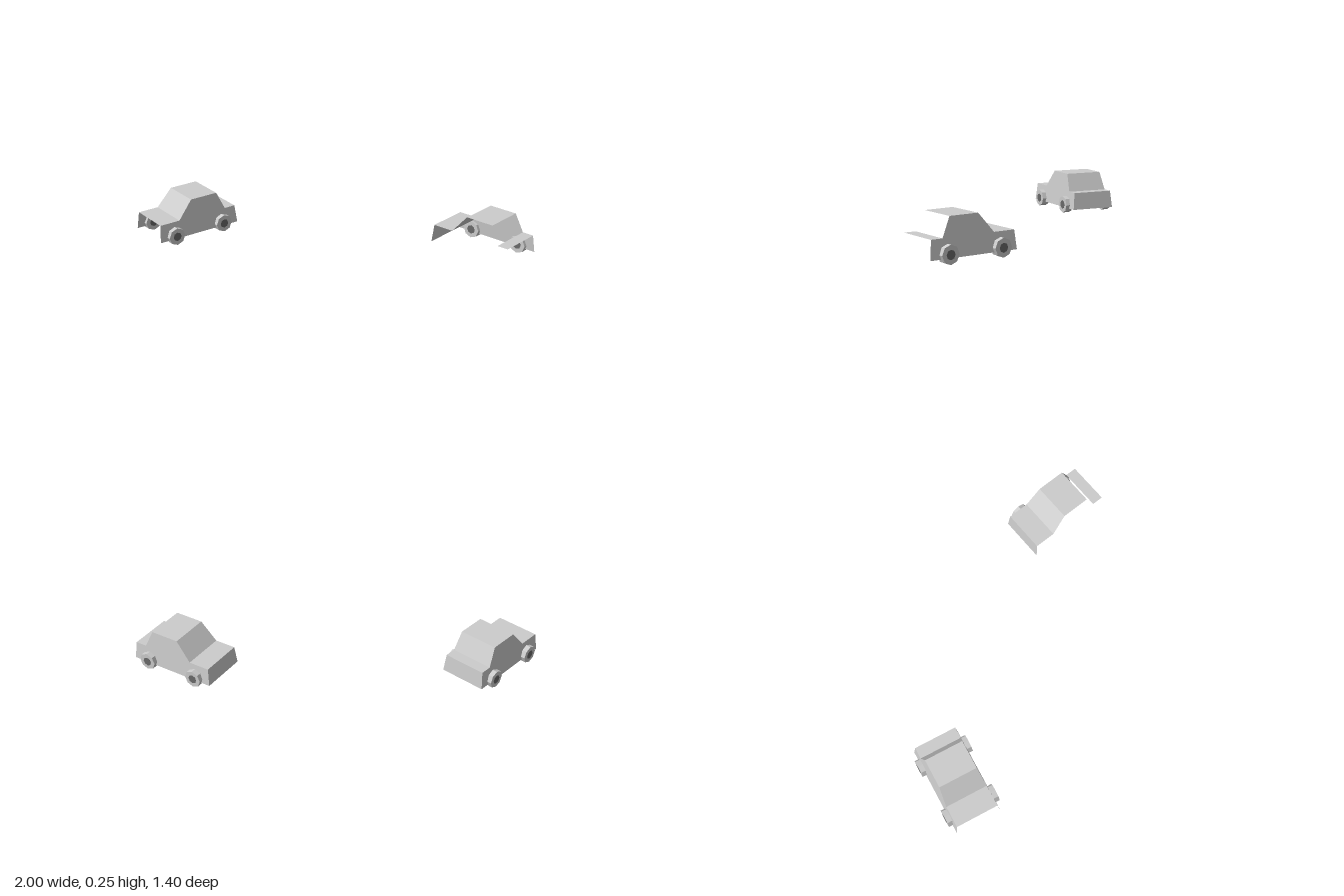
import * as THREE from 'three';

const paint = new THREE.MeshStandardMaterial({ color: 0xcccccc, side: THREE.DoubleSide, flatShading: true });
paint.name = 'pale grey paint';
const dark = new THREE.MeshStandardMaterial({ color: 0x6a6a6a, flatShading: true });
dark.name = 'dark grey hub';

// Body outline as [z, y], running from front bottom over the roof to rear bottom
const PROFILE = [
  [0.27, 0.03], [0.26, 0.136], [0.13, 0.136], [0.037, 0.245],
  [-0.14, 0.245], [-0.19, 0.136], [-0.26, 0.136], [-0.27, 0.03],
];
const PANELS = ['frontPanel', 'hood', 'windshield', 'roof', 'rearWindow', 'trunkLid', 'rearPanel'];

// The sides lean inwards towards the roof
const halfWidth = (y) => 0.14 - (y - 0.03) * 0.102;

function addMesh(parent, name, geometry, material) {
  const mesh = new THREE.Mesh(geometry, material);
  mesh.name = name;
  parent.add(mesh);
  return mesh;
}

// Sheet spanning the car's width between two outline points
function panelGeometry([z0, y0], [z1, y1]) {
  const a = halfWidth(y0), b = halfWidth(y1);
  const g = new THREE.BufferGeometry();
  g.setAttribute('position', new THREE.Float32BufferAttribute(
    [-a, y0, z0, a, y0, z0, b, y1, z1, -b, y1, z1], 3));
  g.setIndex([0, 1, 2, 0, 2, 3]);
  g.computeVertexNormals();
  return g;
}

// Flat side sheet following the outline, leaned to match the panels
function sideGeometry(side) {
  const g = new THREE.ShapeGeometry(new THREE.Shape(PROFILE.map(([z, y]) => new THREE.Vector2(z, y))));
  const p = g.attributes.position;
  for (let i = 0; i < p.count; i++) {
    const z = p.getX(i), y = p.getY(i);
    p.setXYZ(i, side * halfWidth(y), y, z);
  }
  // Turn the faces outwards on the left side
  if (side > 0) {
    const index = Array.from(g.index.array);
    g.setIndex(index.reverse());
  }
  g.computeVertexNormals();
  return g;
}

// Eight-sided wheel with a dark hub showing on both faces
function makeWheel(name) {
  const wheel = new THREE.Group();
  wheel.name = name;
  const tyre = new THREE.CylinderGeometry(0.053, 0.053, 0.046, 8).rotateZ(Math.PI / 2);
  const hub = new THREE.CylinderGeometry(0.027, 0.027, 0.049, 8).rotateZ(Math.PI / 2);
  addMesh(wheel, 'tyre', tyre, paint);
  addMesh(wheel, 'hub', hub, dark);
  return wheel;
}

// Car shell without a floor; some parts may be missing
function makeCar(name, missing, sides) {
  const car = new THREE.Group();
  car.name = name;
  PANELS.forEach((part, i) => {
    if (!missing.includes(part)) addMesh(car, part, panelGeometry(PROFILE[i], PROFILE[i + 1]), paint);
  });
  for (const side of sides) {
    const label = side > 0 ? 'left' : 'right';
    addMesh(car, label + 'Side', sideGeometry(side), paint);
    for (const [end, z] of [['Front', 0.168], ['Rear', -0.162]]) {
      const wheel = makeWheel(label + end + 'Wheel');
      wheel.position.set(side * 0.14, 0.053, z);
      car.add(wheel);
    }
  }
  return car;
}

export function createModel() {
  const model = new THREE.Group();
  model.name = 'wreckedCars';

  // Car without its front panel
  const first = makeCar('carWithoutFront', ['frontPanel'], [-1, 1]);
  first.position.set(-0.802, 0, 0.403);
  first.rotation.y = -0.19;

  // Car stripped of its left side, rear window and rear panel
  const second = makeCar('halfStrippedCar', ['rearWindow', 'rearPanel'], [-1]);
  second.position.set(0.73, 0, -0.54);
  second.rotation.y = -Math.PI / 2;

  model.add(first, second);
  return model;
}
